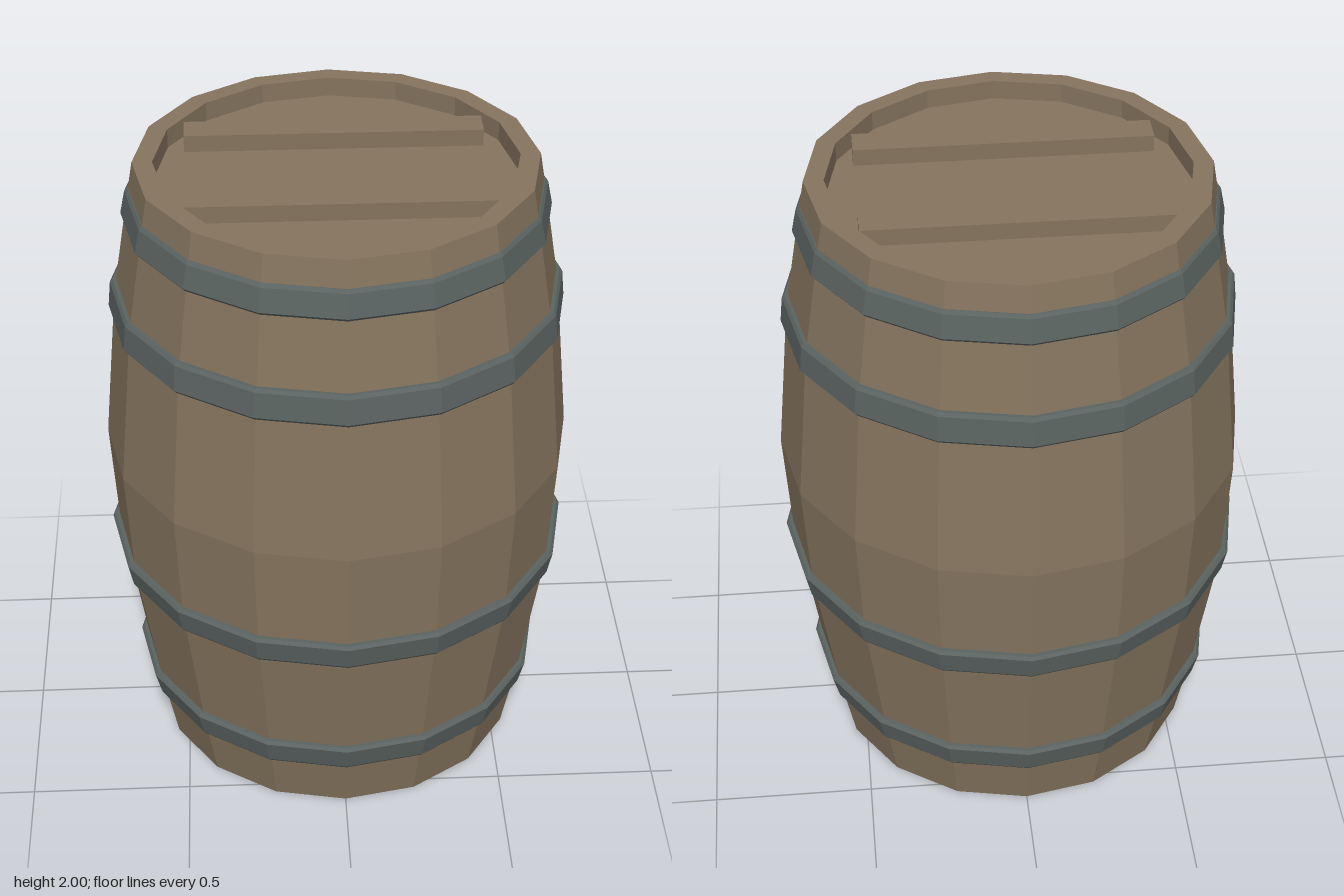
import * as THREE from 'three';

const SIDES = 16;

// Faceted solid of revolution; profile runs from bottom to top as [radius, y]
function facetedLathe(profile) {
  const points = profile.map(([r, y]) => new THREE.Vector2(r, y));
  const geometry = new THREE.LatheGeometry(points, SIDES).toNonIndexed();
  geometry.computeVertexNormals();
  return geometry;
}

export function createModel() {
  const wood = new THREE.MeshStandardMaterial({ color: 0x85745e });
  const iron = new THREE.MeshStandardMaterial({ color: 0x5b6462 });
  wood.name = 'wood';
  iron.name = 'iron';

  const model = new THREE.Group();
  model.name = 'barrel';
  const add = (name, geometry, material) => {
    const mesh = new THREE.Mesh(geometry, material);
    mesh.name = name;
    model.add(mesh);
    return mesh;
  };

  // Bulging body with a raised rim around the recessed lid
  add('body', facetedLathe([
    [0, 0], [0.58, 0], [0.625, 0.225], [0.698, 0.69], [0.72, 1.065],
    [0.674, 1.56], [0.622, 1.875], [0.6, 2], [0.54, 2], [0.54, 1.94], [0, 1.94],
  ]), wood);

  // Hoops: bottom y, top y, outer radius at bottom and top
  const hoops = [
    [0.175, 0.272, 0.632, 0.652],
    [0.645, 0.74, 0.706, 0.722],
    [1.51, 1.61, 0.693, 0.685],
    [1.825, 1.917, 0.641, 0.626],
  ];
  const bevel = 0.01;
  hoops.forEach(([y0, y1, r0, r1], i) => {
    add(`hoop${i + 1}`, facetedLathe([
      [r0 - 0.04, y0], [r0 - 0.008, y0], [r0, y0 + bevel],
      [r1, y1 - bevel], [r1 - 0.008, y1], [r1 - 0.04, y1],
    ]), iron);
  });

  // Two battens across the lid
  for (const side of [-1, 1]) {
    add(side < 0 ? 'backBatten' : 'frontBatten', new THREE.BoxGeometry(0.9, 0.055, 0.096), wood)
      .position.set(0, 1.965, side * 0.222);
  }

  return model;
}
